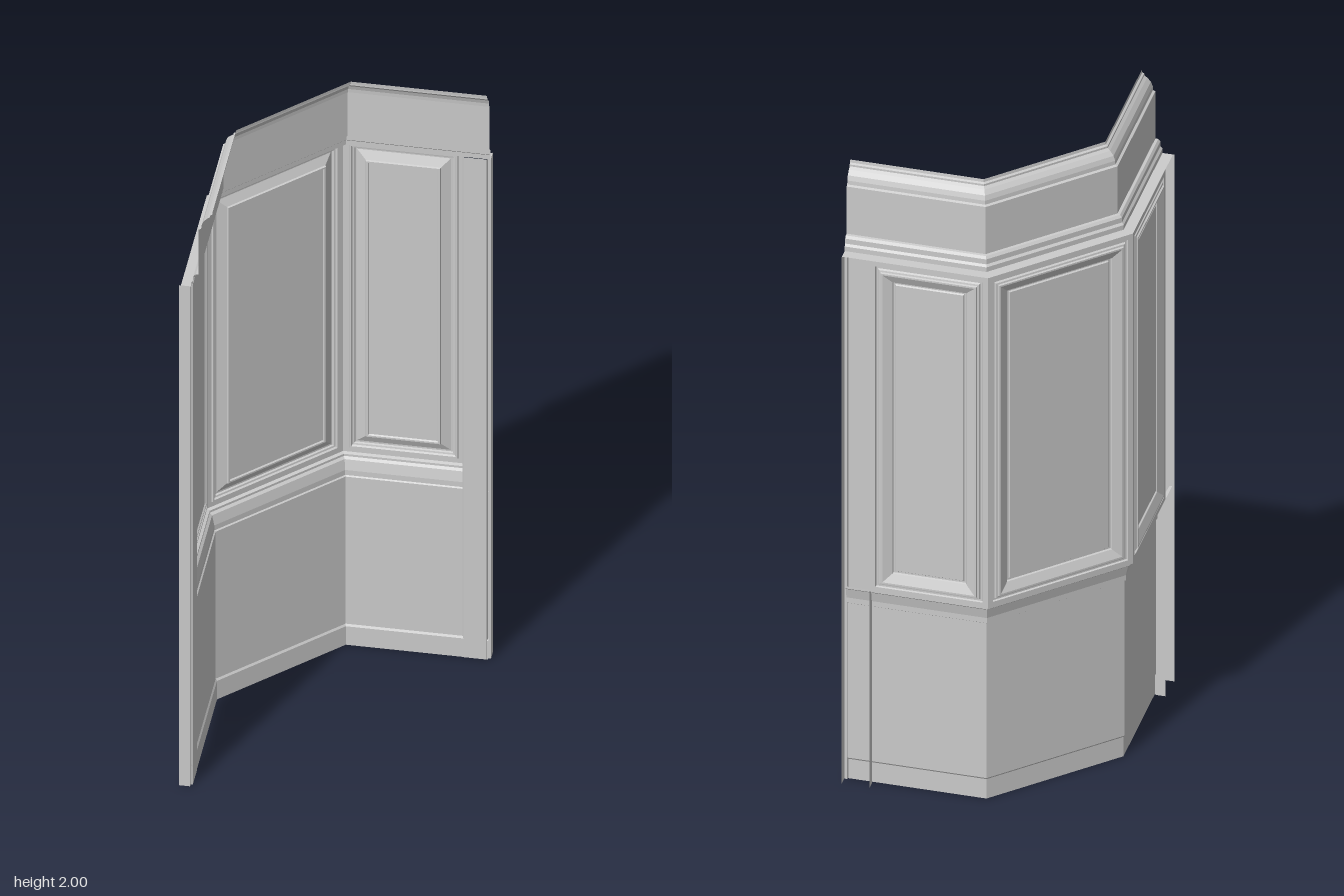
import * as THREE from 'three';

const END = 0.375;     // free end of both straight walls
const WALL = 0.372;    // distance of the upper wall from the centre planes
const PANEL_END = 0.295;
const RAIL_Y = 0.648, TOP_Y = 1.735;

const material = new THREE.MeshStandardMaterial({
  color: 0xcccccc, flatShading: true, side: THREE.DoubleSide,
});

// Plan of the three walls at distance d: left wall, diagonal wall, back wall.
function plan(d, end) {
  const c = -0.045 + Math.tan(Math.PI / 8) * (WALL - d);
  return [[-d, end], [-d, c], [c, -d], [end, -d]];
}

// Joins rows of points into a sheet of quads; rows run upwards or inwards.
function sheet(name, rows) {
  const pos = [];
  for (let r = 0; r < rows.length - 1; r++) {
    for (let i = 0; i < rows[r].length - 1; i++) {
      const a = rows[r][i], b = rows[r][i + 1], c = rows[r + 1][i + 1], d = rows[r + 1][i];
      pos.push(...a, ...b, ...c, ...a, ...c, ...d);
    }
  }
  const g = new THREE.BufferGeometry();
  g.setAttribute('position', new THREE.Float32BufferAttribute(pos, 3));
  g.computeVertexNormals();
  const mesh = new THREE.Mesh(g, material);
  mesh.name = name;
  return mesh;
}

// Sweeps a [distance, height] profile along the three walls with mitred corners.
function sweep(name, profile, end) {
  return sheet(name, profile.map(([d, y]) => plan(d, end).map(([x, z]) => [x, y, z])));
}

// Upper wall with a framed, raised panel, made of nested rectangles
// given as [margin, depth towards the room].
const panelRings = [
  [0, 0], [0.016, 0], [0.018, 0.005], [0.023, 0.005], [0.026, 0],
  [0.031, -0.001], [0.033, -0.006], [0.038, -0.006],
  [0.064, 0.006], [0.066, 0.011], [0.071, 0.011], [0.074, 0.007],
];
function panelWall(name, [x0, z0], [x1, z1]) {
  const len = Math.hypot(x1 - x0, z1 - z0);
  const ux = (x1 - x0) / len, uz = (z1 - z0) / len;
  const at = (u, y, d) => [x0 + ux * u - uz * d, y, z0 + uz * u + ux * d];
  const rows = panelRings.map(([m, d]) => {
    const l = m, r = len - m, b = RAIL_Y + m, t = TOP_Y - m;
    return [at(l, b, d), at(r, b, d), at(r, t, d), at(l, t, d), at(l, b, d)];
  });
  const group = new THREE.Group();
  group.name = name;
  group.add(sheet('panelFrame', rows));
  const [a, b, c, d] = rows[rows.length - 1];
  group.add(sheet('panelField', [[a, b], [d, c]]));
  return group;
}

// Pilaster at a free end: a channel open towards the outside.
const pilasterPlan = [
  [PANEL_END, WALL], [PANEL_END, 0.346], [PANEL_END + 0.004, 0.34],
  [0.364, 0.34], [0.367, 0.346], [END, 0.346], [END, 0.377],
];
function pilaster(name, onBackWall) {
  const pts = pilasterPlan.map(([u, d]) => (onBackWall ? [u, -d] : [-d, u]));
  if (!onBackWall) pts.reverse();
  return sheet(name, [0, TOP_Y].map((y) => pts.map(([x, z]) => [x, y, z])));
}

export function createModel() {
  const model = new THREE.Group();
  model.name = 'panelledCornerWall';

  // Skirting, plain lower wall and chair rail
  model.add(sweep('skirting', [[0.341, 0], [0.341, 0.064], [0.345, 0.07]], 0.368));
  model.add(sweep('lowerWall', [[0.345, 0.07], [0.345, 0.58]], 0.368));
  model.add(sweep('chairRail', [
    [0.345, 0.58], [0.349, 0.583], [0.349, 0.6], [0.356, 0.632],
    [0.363, 0.638], [0.363, 0.645], [WALL, RAIL_Y],
  ], 0.368));

  // Upper walls with panels
  const corners = plan(WALL, PANEL_END);
  ['leftPanelWall', 'diagonalPanelWall', 'backPanelWall'].forEach((name, i) => {
    model.add(panelWall(name, corners[i], corners[i + 1]));
  });

  // Pilasters at both ends
  model.add(pilaster('leftPilaster', false), pilaster('backPilaster', true));

  // Lower moulding, frieze and crown
  model.add(sweep('friezeMoulding', [
    [WALL, TOP_Y], [0.342, TOP_Y], [0.342, 0.015 + TOP_Y], [0.336, 1.756],
    [0.336, 1.772], [0.33, 1.779], [0.322, 1.78],
  ], END));
  model.add(sweep('frieze', [[0.322, 1.78], [0.322, 1.935]], END));
  model.add(sweep('crown', [
    [0.322, 1.935], [0.315, 1.938], [0.314, 1.95], [0.309, 1.964],
    [0.298, 1.976], [0.29, 1.982], [0.29, 1.988], [0.284, 1.991], [0.283, 2],
  ], END));
  return model;
}
